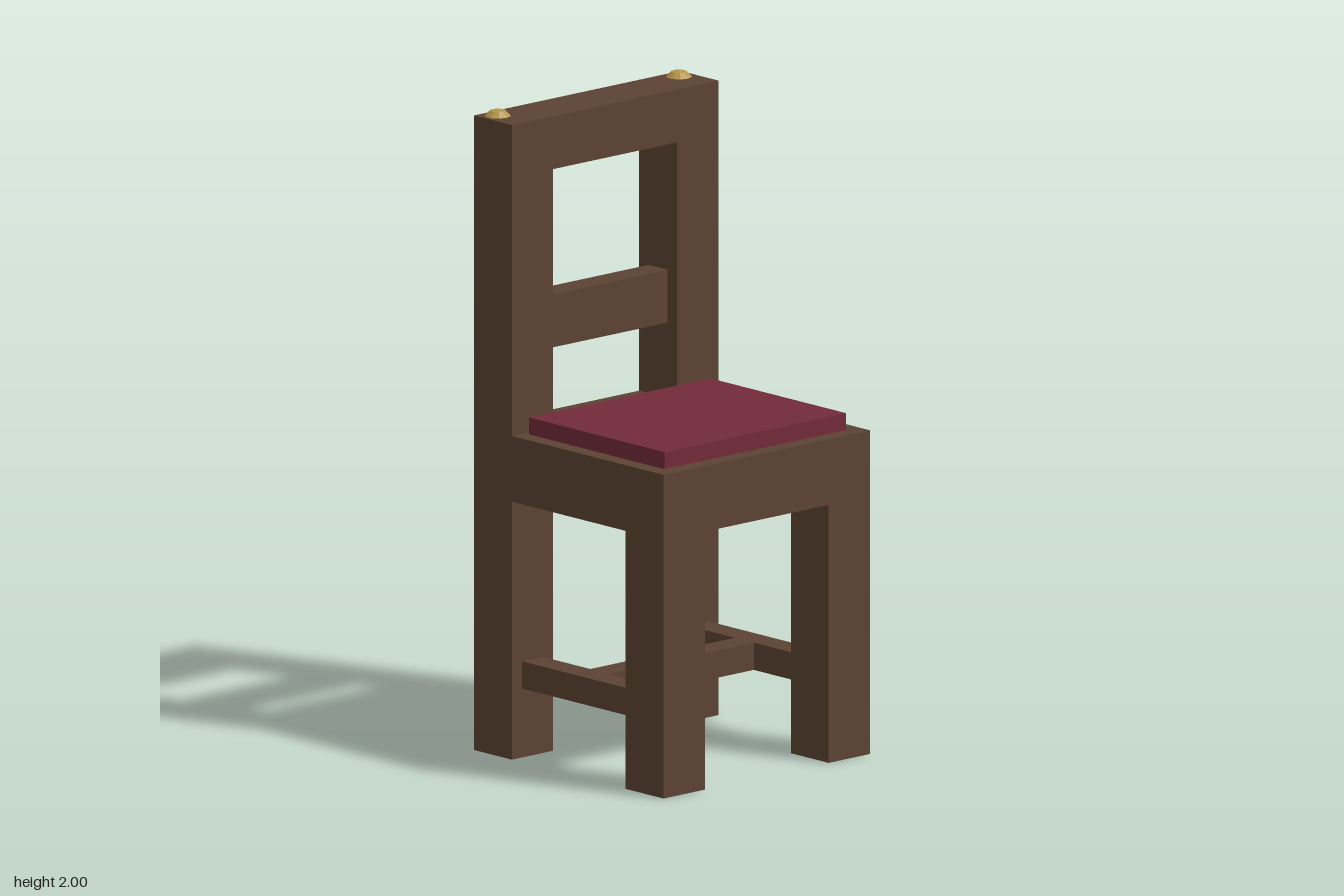
import * as THREE from 'three';

export function createModel() {
  const chair = new THREE.Group();
  chair.name = 'chair';

  const wood = new THREE.MeshStandardMaterial({ color: 0x5c4333, flatShading: true });
  const fabric = new THREE.MeshStandardMaterial({ color: 0x722b3a, flatShading: true });
  const brass = new THREE.MeshStandardMaterial({ color: 0xb8964a, flatShading: true });

  // Box given by its lower and upper corners
  function box(name, [x0, y0, z0], [x1, y1, z1], material = wood) {
    const mesh = new THREE.Mesh(new THREE.BoxGeometry(x1 - x0, y1 - y0, z1 - z0), material);
    mesh.position.set((x0 + x1) / 2, (y0 + y1) / 2, (z0 + z1) / 2);
    mesh.name = name;
    chair.add(mesh);
  }

  const out = 0.425;    // outer half width
  const inn = 0.255;    // inner face of the legs
  const mid = 0.34;     // leg centre line
  const bar = 0.0425;   // half thickness of slat and stretchers
  const seatBottom = 0.805, seatTop = 1.01, top = 1.98;

  // Seat block and cushion
  box('seat', [-out, seatBottom, -out], [out, seatTop, out]);
  box('cushion', [-0.373, seatTop, -0.235], [0.373, 1.063, 0.373], fabric);

  // Backrest rails between the posts
  box('topRail', [-inn, 1.815, -out], [inn, top, -inn]);
  box('backSlat', [-inn, 1.245, -mid - bar], [inn, 1.41, -mid + bar]);

  // Low-poly domed stud
  const dome = [[0.04, 0], [0.024, 0.016], [0, 0.02]].map(([r, y]) => new THREE.Vector2(r, y));
  const studGeometry = new THREE.LatheGeometry(dome, 10);

  for (const [side, s] of [['left', 1], ['right', -1]]) {
    const x0 = s > 0 ? inn : -out;
    const x1 = x0 + out - inn;

    // Front leg, back leg and the post above it
    box(side + 'FrontLeg', [x0, 0, inn], [x1, seatBottom, out]);
    box(side + 'BackLeg', [x0, 0, -out], [x1, seatBottom, -inn]);
    box(side + 'BackPost', [x0, seatTop, -out], [x1, top, -inn]);

    // Side stretcher between the legs
    box(side + 'Stretcher', [s * mid - bar, 0.215, -inn], [s * mid + bar, 0.3, inn]);

    // Brass stud on the post
    const stud = new THREE.Mesh(studGeometry, brass);
    stud.position.set(s * 0.373, top, -0.375);
    stud.name = side + 'Stud';
    chair.add(stud);
  }

  // Cross stretcher joining the two side stretchers
  box('crossStretcher', [-mid + bar, 0.215, -bar], [mid - bar, 0.3, bar]);

  return chair;
}
